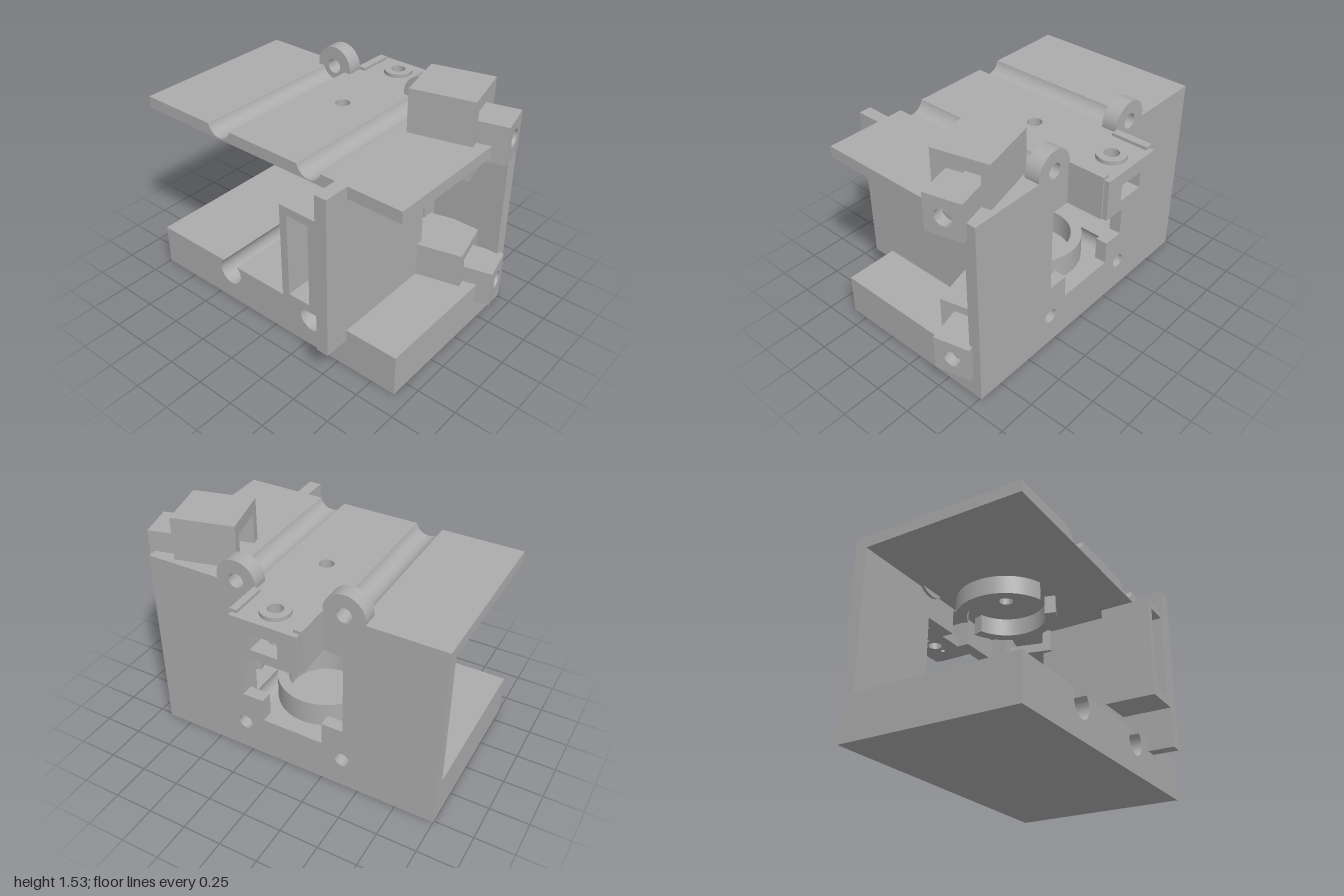
import * as THREE from 'three';
import { toCreasedNormals } from 'three/addons/utils/BufferGeometryUtils.js';

const LEFT = -1, RIGHT = 0.91, BACK = -0.51, FRONT = 0.61;
const RODS = [-0.39, 0.295];   // x of the two rod channels
const MID = -0.045;            // axis of the ring and rear housing

export function createModel() {
  const model = new THREE.Group();
  const grey = new THREE.MeshStandardMaterial({ color: 0xacacac });
  grey.name = 'grey plastic';

  const add = (name, geo, parent = model) => {
    const mesh = new THREE.Mesh(toCreasedNormals(geo, 0.5), grey);
    mesh.name = name;
    parent.add(mesh);
    return mesh;
  };
  const box = (name, x0, x1, y0, y1, z0, z1, parent) => {
    const g = new THREE.BoxGeometry(x1 - x0, y1 - y0, z1 - z0);
    g.translate((x0 + x1) / 2, (y0 + y1) / 2, (z0 + z1) / 2);
    return add(name, g, parent);
  };
  const poly = pts => new THREE.Shape(pts.map(p => new THREE.Vector2(...p)));
  const rect = (x0, x1, y0, y1) => poly([[x0, y0], [x1, y0], [x1, y1], [x0, y1]]);
  const disc = (x, y, r) => new THREE.Shape().absarc(x, y, r, 0, Math.PI * 2, false);
  const pierce = (shape, ...holes) => { shape.holes.push(...holes); return shape; };
  const extrude = (shape, depth) =>
    new THREE.ExtrudeGeometry(shape, { depth, bevelEnabled: false, curveSegments: 28 });
  // extrude along z between two depths
  const alongZ = (shape, z0, z1) => extrude(shape, z1 - z0).translate(0, 0, z0);
  // extrude upward; shape coordinates are (x, -z)
  const alongY = (shape, y0, y1) => extrude(shape, y1 - y0).rotateX(-Math.PI / 2).translate(0, y0, 0);
  // slab section with round channels cut into its top edge
  const channelled = (x0, x1, y0, y1, rods, cy, r) => {
    const s = Math.asin((y1 - cy) / r), shape = new THREE.Shape();
    shape.moveTo(x0, y0);
    shape.lineTo(x0, y1);
    rods.forEach(x => shape.absarc(x, cy, r, Math.PI - s, Math.PI * 2 + s, false));
    shape.lineTo(x1, y1);
    shape.lineTo(x1, y0);
    return shape;
  };

  // base and top plates with rod channels
  add('base', alongZ(channelled(LEFT, RIGHT, 0, 0.275, RODS, 0.21, 0.0875), -0.43, FRONT));
  add('topPlateRightSide', alongZ(channelled(LEFT, -0.2, 1.18, 1.255, [RODS[0]], 1.275, 0.0875), -0.43, FRONT));
  add('topPlateLeftSide', alongZ(channelled(0.1, RIGHT, 1.18, 1.255, [RODS[1]], 1.275, 0.0875), -0.43, FRONT));
  add('topPlateMiddle', alongY(pierce(rect(-0.2, 0.1, -FRONT, 0.43), disc(MID, 0.08, 0.045)), 1.18, 1.255));

  // back plate with stepped window and rod holes
  const window = poly([[-0.39, 0.44], [-0.25, 0.44], [-0.25, 0.285], [0.16, 0.285], [0.16, 0.44], [0.3, 0.44],
    [0.3, 1], [0.04, 1], [0.04, 1.17], [-0.135, 1.17], [-0.135, 1], [-0.39, 1]]);
  add('backPlate', alongZ(pierce(channelled(LEFT, RIGHT, 0, 1.255, RODS, 1.275, 0.1),
    window, ...RODS.map(x => disc(x, 0.21, 0.048))), BACK, -0.43));
  box('backRib', 0.33, 0.43, 0.275, 1.18, -0.43, -0.32);

  // collars that stop the rods
  RODS.forEach(x => {
    add('upperRodCollar', alongZ(pierce(disc(x, 1.275, 0.13), disc(x, 1.275, 0.048)), BACK, -0.41));
    add('lowerRodCollar', alongZ(pierce(disc(x, 0.21, 0.13), disc(x, 0.21, 0.048)), -0.43, -0.41));
  });

  // lower ring and split upper ring
  add('lowerRing', alongY(pierce(disc(MID, 0.08, 0.31), disc(MID, 0.08, 0.24)), 0.275, 0.44));
  [0, Math.PI].forEach(turn => {
    const a = Math.PI / 2 - 0.3, arc = new THREE.Shape();
    arc.absarc(MID, 0.08, 0.32, turn - a, turn + a, false);
    arc.absarc(MID, 0.08, 0.25, turn + a, turn - a, true);
    add('upperRingHalf', alongY(arc, 1.06, 1.18));
  });

  // upright wall and its front pocket
  box('sideWall', 0.48, 0.56, 0.2, 1.255, -0.105, 0.775);
  add('pocketFrame', alongZ(pierce(rect(0.23, 0.48, 0.45, 1.09), rect(0.28, 0.43, 0.5, 1.04)), 0.5, 0.775));
  box('pocketBack', 0.23, 0.48, 0.45, 1.09, 0.46, 0.5);

  // rear housing: slotted block, drilled roof and floor, side rails, boss
  const housing = new THREE.Group();
  housing.name = 'rearHousing';
  model.add(housing);
  const drill = () => disc(MID, 0.635, 0.045);
  const screws = [-0.09, 0.09].map(d => disc(MID + d, 0.635, 0.015));
  add('housingFloor', alongY(pierce(rect(-0.255, 0.165, 0.51, 0.775), drill(), ...screws), 1, 1.065), housing);
  add('housingRoof', alongY(pierce(rect(-0.255, 0.165, 0.51, 0.775), drill()), 1.17, 1.255), housing);
  box('housingSide', -0.255, -0.135, 1.065, 1.17, -0.775, BACK, housing);
  box('housingSide', 0.04, 0.165, 1.065, 1.17, -0.775, BACK, housing);
  box('housingRail', -0.27, -0.22, 1, 1.275, -0.745, BACK, housing);
  box('housingRail', 0.13, 0.175, 1, 1.275, -0.745, BACK, housing);
  add('housingBoss', alongY(pierce(disc(MID, 0.635, 0.09), drill()), 1.255, 1.28), housing);

  // two turned sleeves, each with a drilled block at the outer end
  const sleeve = (name, cy, y0, y1) => {
    const g = new THREE.Group();
    g.name = name;
    g.position.set(0.605, 0, -0.255);
    g.rotation.y = 0.245;
    model.add(g);
    const alongX = (shape, x0, x1) => extrude(shape, x1 - x0).rotateY(Math.PI / 2).translate(x0, 0, 0);
    add(name + 'Body', alongX(pierce(rect(-0.176, 0.176, y0, y1),
      rect(-0.12, 0.12, cy - 0.18, cy + 0.18)), -0.195, 0.195), g);
    add(name + 'Block', alongX(pierce(rect(-0.117, 0.117, cy - 0.12, cy + 0.12),
      disc(0, cy, 0.054)), 0.14, 0.376), g);
  };
  sleeve('upperSleeve', 1.27, 1.03, 1.53);
  sleeve('lowerSleeve', 0.265, 0.03, 0.5);

  return model;
}
